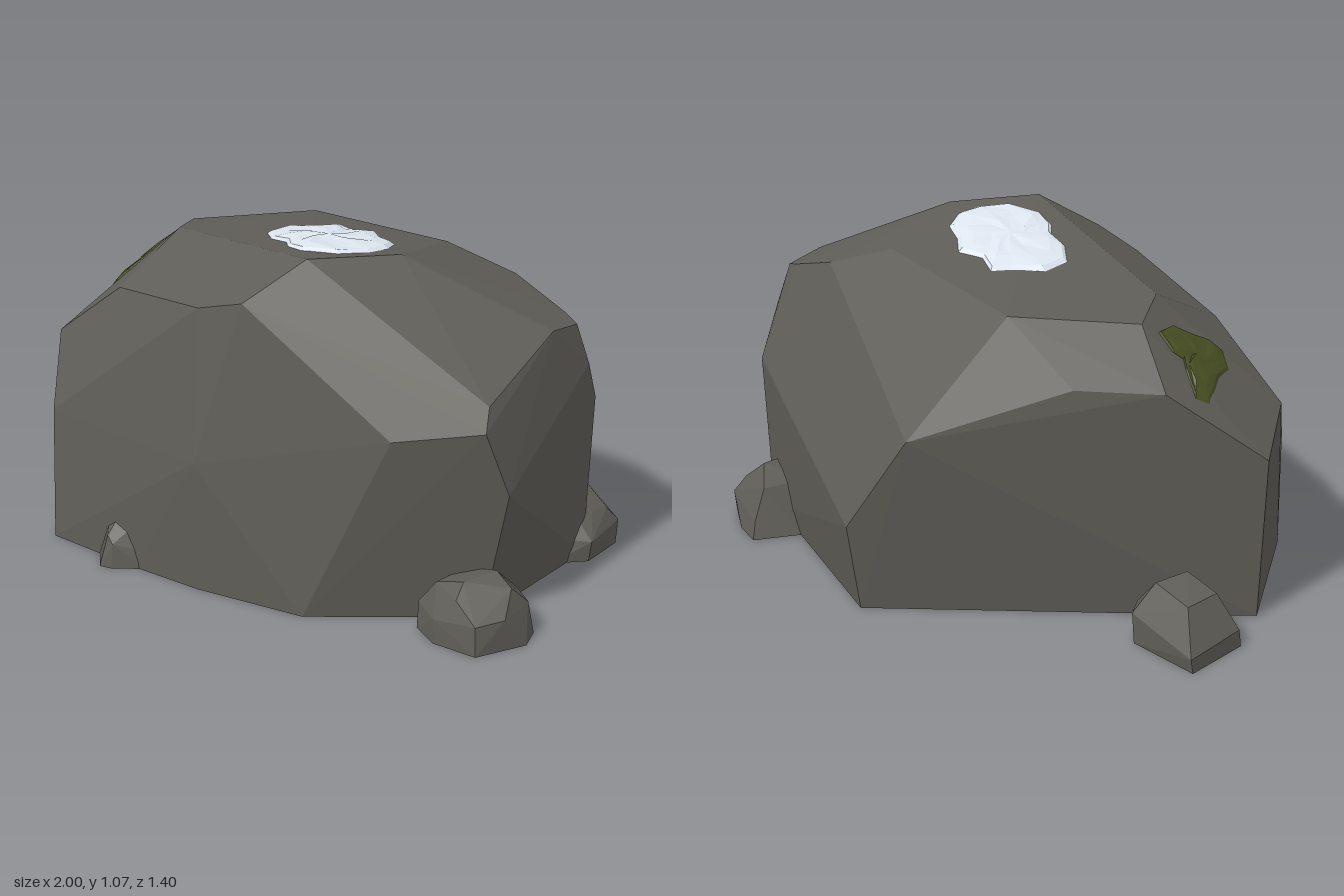
import * as THREE from 'three';
import { ConvexGeometry } from 'three/addons/geometries/ConvexGeometry.js';

const rockMat = new THREE.MeshStandardMaterial({ color: 0x5f5d57, flatShading: true });
const mossMat = new THREE.MeshStandardMaterial({ color: 0x4a5224, flatShading: true });
const snowMat = new THREE.MeshStandardMaterial({ color: 0xdde6f0, flatShading: true });

// Faceted stone wrapped around a few corner points
function stone(name, corners) {
  const geometry = new ConvexGeometry(corners.map(c => new THREE.Vector3(...c)));
  const mesh = new THREE.Mesh(geometry, rockMat);
  mesh.name = name;
  return mesh;
}

// Thin lumpy patch draped over a stone: outline is [x, z] seen from above
function patch(name, material, base, outline, centre, thickness) {
  const ray = new THREE.Raycaster();
  const down = new THREE.Vector3(0, -1, 0);
  const rings = [[0.35, 0.9], [0.7, 0.8], [0.92, 0.5], [1, -0.1]];
  const n = outline.length, pos = [], index = [];
  const add = (x, z, lift) => {
    ray.set(new THREE.Vector3(x, 3, z), down);
    const hit = ray.intersectObject(base)[0];
    pos.push(x, (hit ? hit.point.y : 0) + lift, z);
  };
  add(centre[0], centre[1], thickness);
  rings.forEach(([s, h], r) => outline.forEach(([x, z], i) => {
    const lump = r < 3 ? 1 + 0.2 * Math.sin(i * 2.3 + r * 1.7) : 1;
    add(centre[0] + (x - centre[0]) * s, centre[1] + (z - centre[1]) * s, thickness * h * lump);
  }));
  // outline runs clockwise from above
  for (let i = 0; i < n; i++) {
    const j = (i + 1) % n;
    index.push(0, 1 + j, 1 + i);
    for (let r = 0; r < rings.length - 1; r++) {
      const a = 1 + r * n + i, b = 1 + r * n + j;
      index.push(a, b, a + n, b, b + n, a + n);
    }
  }
  const g = new THREE.BufferGeometry();
  g.setAttribute('position', new THREE.Float32BufferAttribute(pos, 3));
  g.setIndex(index);
  g.computeVertexNormals();
  const mesh = new THREE.Mesh(g, material);
  material.side = THREE.DoubleSide;
  mesh.name = name;
  return mesh;
}

export function createModel() {
  const model = new THREE.Group();
  model.name = 'boulder';

  // Main boulder
  const boulder = stone('mainBoulder', [
    // base
    [-0.9, 0, 0.2], [-0.62, 0, 0.635], [-0.25, 0, 0.635], [0, 0, 0.62], [0.37, 0, 0.55],
    [0.79, 0, 0.2], [0.77, 0, -0.37], [0, 0, -0.65],
    // sides
    [-0.92, 0.54, 0.2], [-0.78, 0.62, 0.42], [-0.66, 0.42, 0.58], [0, 0.43, 0.63],
    [0.62, 0.61, 0.44], [0.88, 0.43, 0.2], [0.84, 0.64, 0.27], [0.83, 0.7, -0.27],
    [0.78, 0.54, -0.39], [0, 0.3, -0.7], [-0.17, 0.61, -0.6], [-0.52, 0.78, -0.24],
    [-0.72, 0.77, -0.05],
    // shoulders
    [-0.5, 0.83, 0.42], [-0.05, 0.9, 0.54], [0.12, 0.95, 0.53], [0.82, 0.71, 0.23],
    [0.81, 0.85, -0.1], [0.8, 0.83, -0.24], [0.74, 0.85, -0.26], [0.53, 0.92, -0.29],
    // top
    [0.23, 1.07, 0.36], [0.4, 1.06, 0.12], [0.32, 1.0, -0.21], [-0.28, 0.96, -0.28],
    [-0.57, 0.94, 0], [-0.48, 0.97, 0.16],
  ]);
  model.add(boulder);

  // Small stones around the foot
  model.add(stone('frontRightPebble', [
    [0.68, 0, 0.38], [0.78, 0, 0.43], [0.93, 0, 0.42], [1, 0, 0.26], [0.97, 0, 0.18],
    [0.87, 0, 0.13], [0.68, 0, 0.2], [0.67, 0.08, 0.36], [0.78, 0.08, 0.43], [0.92, 0.09, 0.41],
    [0.97, 0.1, 0.33], [0.96, 0.11, 0.2], [0.87, 0.1, 0.13], [0.73, 0.16, 0.35],
    [0.84, 0.15, 0.4], [0.87, 0.2, 0.24], [0.94, 0.17, 0.26], [0.83, 0.19, 0.35],
    [0.73, 0.15, 0.2],
  ]));
  model.add(stone('backRightPebble', [
    [0.6, 0, -0.6], [0.7, 0, -0.57], [0.81, 0, -0.5], [0.82, 0, -0.33], [0.74, 0, -0.24],
    [0.54, 0, -0.3], [0.52, 0, -0.46], [0.61, 0.06, -0.58], [0.81, 0.08, -0.51],
    [0.83, 0.07, -0.33], [0.72, 0.08, -0.25], [0.78, 0.14, -0.4], [0.7, 0.2, -0.34],
    [0.69, 0.21, -0.47], [0.62, 0.16, -0.53], [0.57, 0.16, -0.36], [0.79, 0.13, -0.47],
  ]));
  model.add(stone('leftPebble', [
    [-1, 0, -0.21], [-0.99, 0, 0.02], [-0.86, 0, 0.07], [-0.75, 0, 0.05], [-0.68, 0, -0.1],
    [-0.75, 0, -0.2], [-1, 0.05, -0.22], [-0.99, 0.06, 0.01], [-0.86, 0.07, 0.07],
    [-0.74, 0.08, 0.05], [-0.67, 0.08, -0.1], [-0.74, 0.1, -0.2], [-0.92, 0.17, -0.15],
    [-0.92, 0.17, -0.02], [-0.8, 0.2, -0.02], [-0.77, 0.19, -0.13],
  ]));
  model.add(stone('frontPebble', [
    [-0.43, 0, 0.62], [-0.35, 0, 0.7], [-0.31, 0, 0.69], [-0.22, 0, 0.62], [-0.25, 0, 0.53],
    [-0.4, 0, 0.53], [-0.43, 0.05, 0.6], [-0.34, 0.1, 0.67], [-0.31, 0.08, 0.68],
    [-0.22, 0.05, 0.6], [-0.39, 0.12, 0.61], [-0.34, 0.145, 0.62], [-0.28, 0.13, 0.61],
    [-0.32, 0.14, 0.54], [-0.25, 0.1, 0.55],
  ]));

  // Snow on the top and moss on the sloping shoulder
  model.add(patch('snowPatch', snowMat, boulder, [
    [-0.04, -0.12], [0.04, -0.08], [0.13, -0.1], [0.2, -0.04], [0.28, 0], [0.32, 0.08],
    [0.31, 0.16], [0.25, 0.24], [0.13, 0.27], [0.05, 0.24], [0, 0.19], [-0.08, 0.17],
    [-0.16, 0.1], [-0.16, 0], [-0.08, -0.07],
  ], [0.08, 0.08], 0.02));
  model.add(patch('mossPatch', mossMat, boulder, [
    [-0.75, 0.05], [-0.69, 0.07], [-0.66, 0.09], [-0.64, 0.06], [-0.59, 0.05], [-0.57, 0.13],
    [-0.59, 0.2], [-0.61, 0.27], [-0.64, 0.3], [-0.69, 0.27], [-0.71, 0.2], [-0.74, 0.15],
    [-0.77, 0.09],
  ], [-0.66, 0.15], 0.018));

  return model;
}
